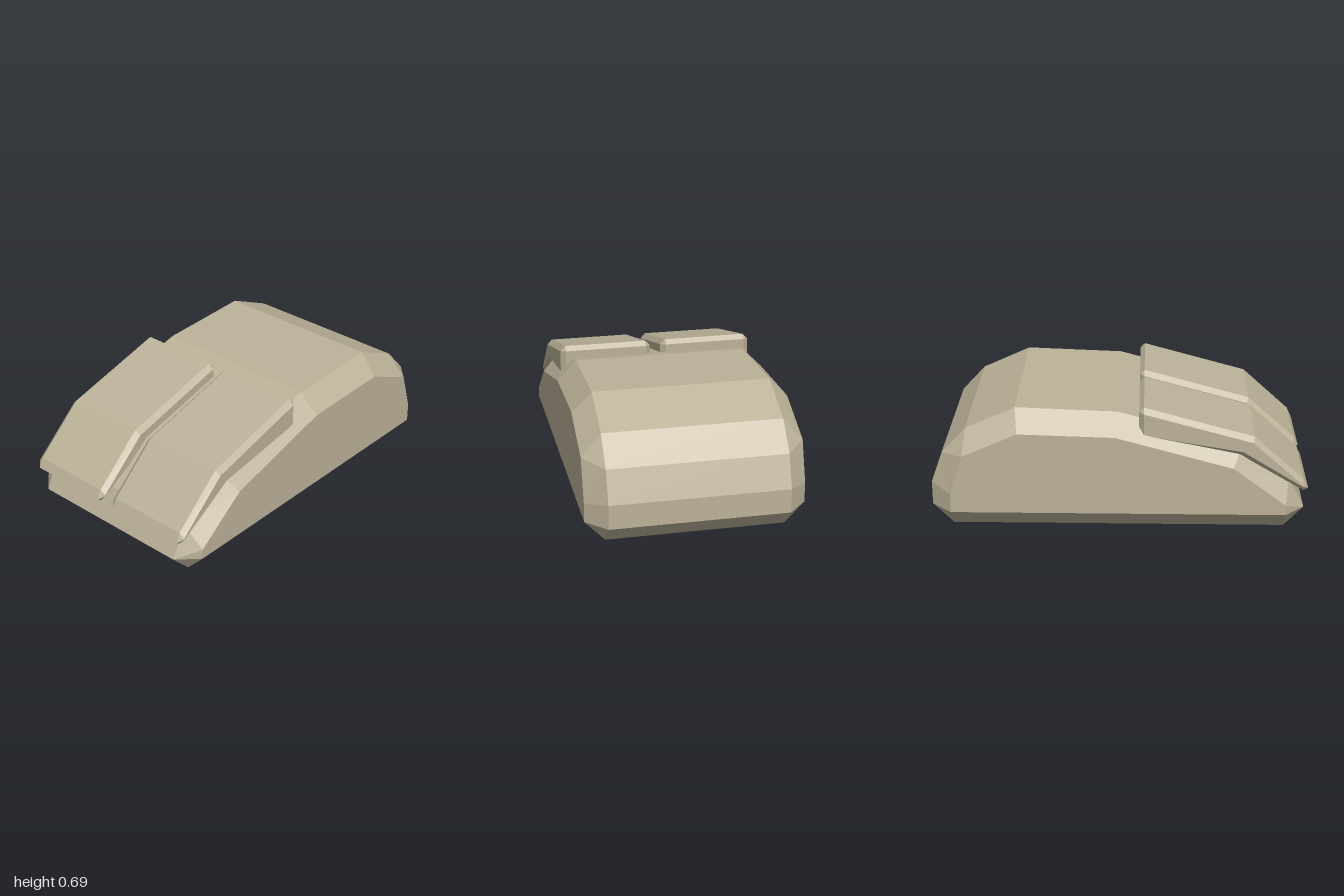
import * as THREE from 'three';

// Chamfered prism along z. Each station is [side face point, rim points it bevels to],
// listed counter-clockwise; side faces lie at +-zSide and the rim at +-zRim.
function bevelledPrism(stations, zSide, zRim) {
  const pos = [];
  const tri = (...pts) => pts.forEach((p) => pos.push(...p));
  const quad = (a, b, c, d) => { tri(a, b, c); tri(a, c, d); };
  const at = (p, z) => [p[0], p[1], z];
  const both = (a, b, c) => { // triangle and its mirror in z
    tri(a, b, c);
    tri(...[a, c, b].map((p) => [p[0], p[1], -p[2]]));
  };

  // Side faces
  const inner = stations.map((s) => s[0]);
  const contour = inner.map((p) => new THREE.Vector2(...p));
  for (const f of THREE.ShapeUtils.triangulateShape(contour, [])) {
    both(...f.map((i) => at(inner[i], zSide)));
  }

  // Bevel bands
  stations.forEach(([p, rim], i) => {
    const [q, nextRim] = stations[(i + 1) % stations.length];
    const a = at(p, zSide), b = at(q, zSide);
    for (let k = 0; k + 1 < rim.length; k++) both(a, at(rim[k], zRim), at(rim[k + 1], zRim));
    const c = at(rim[rim.length - 1], zRim), d = at(nextRim[0], zRim);
    both(a, c, d);
    both(a, d, b);
  });

  // Wall between the two rims
  const rim = stations.flatMap((s) => s[1]);
  rim.forEach((p, i) => {
    const q = rim[(i + 1) % rim.length];
    quad(at(p, zRim), at(p, -zRim), at(q, -zRim), at(q, zRim));
  });

  const geo = new THREE.BufferGeometry();
  geo.setAttribute('position', new THREE.Float32BufferAttribute(pos, 3));
  geo.computeVertexNormals();
  return geo;
}

export function createModel() {
  const group = new THREE.Group();
  group.name = 'computerMouse';
  const plastic = new THREE.MeshStandardMaterial({ color: 0xbcb299 });
  plastic.name = 'beige plastic';

  const add = (name, geometry, z = 0) => {
    const mesh = new THREE.Mesh(geometry, plastic);
    mesh.name = name;
    mesh.position.z = z;
    group.add(mesh);
  };

  // Humped shell
  add('body', bevelledPrism([
    [[-0.88, 0.11], [[-0.985, 0.11], [-0.88, 0]]],
    [[0.89, 0.11], [[0.89, 0], [1, 0.11]]],
    [[0.89, 0.215], [[1, 0.24]]],
    [[0.82, 0.43], [[0.94, 0.41], [0.81, 0.55]]],
    [[0.53, 0.56], [[0.545, 0.67]]],
    [[0.02, 0.545], [[0.01, 0.65]]],
    [[-0.6, 0.375], [[-0.65, 0.475]]],
    [[-0.88, 0.165], [[-0.9, 0.28]]],
  ], 0.575, 0.47));

  // Bent click plates, one on each side of the centre gap
  const button = bevelledPrism([
    [[-0.97, 0.255], [[-1, 0.24], [-0.975, 0.225]]],
    [[-0.65, 0.453], [[-0.64, 0.425]]],
    [[-0.13, 0.54], [[-0.13, 0.515], [-0.105, 0.55]]],
    [[-0.13, 0.66], [[-0.105, 0.665], [-0.13, 0.688]]],
    [[-0.7, 0.505], [[-0.71, 0.53]]],
    [[-0.97, 0.265], [[-0.975, 0.29]]],
  ], 0.2525, 0.225);
  add('leftButton', button, 0.2825);
  add('rightButton', button, -0.2825);

  return group;
}
